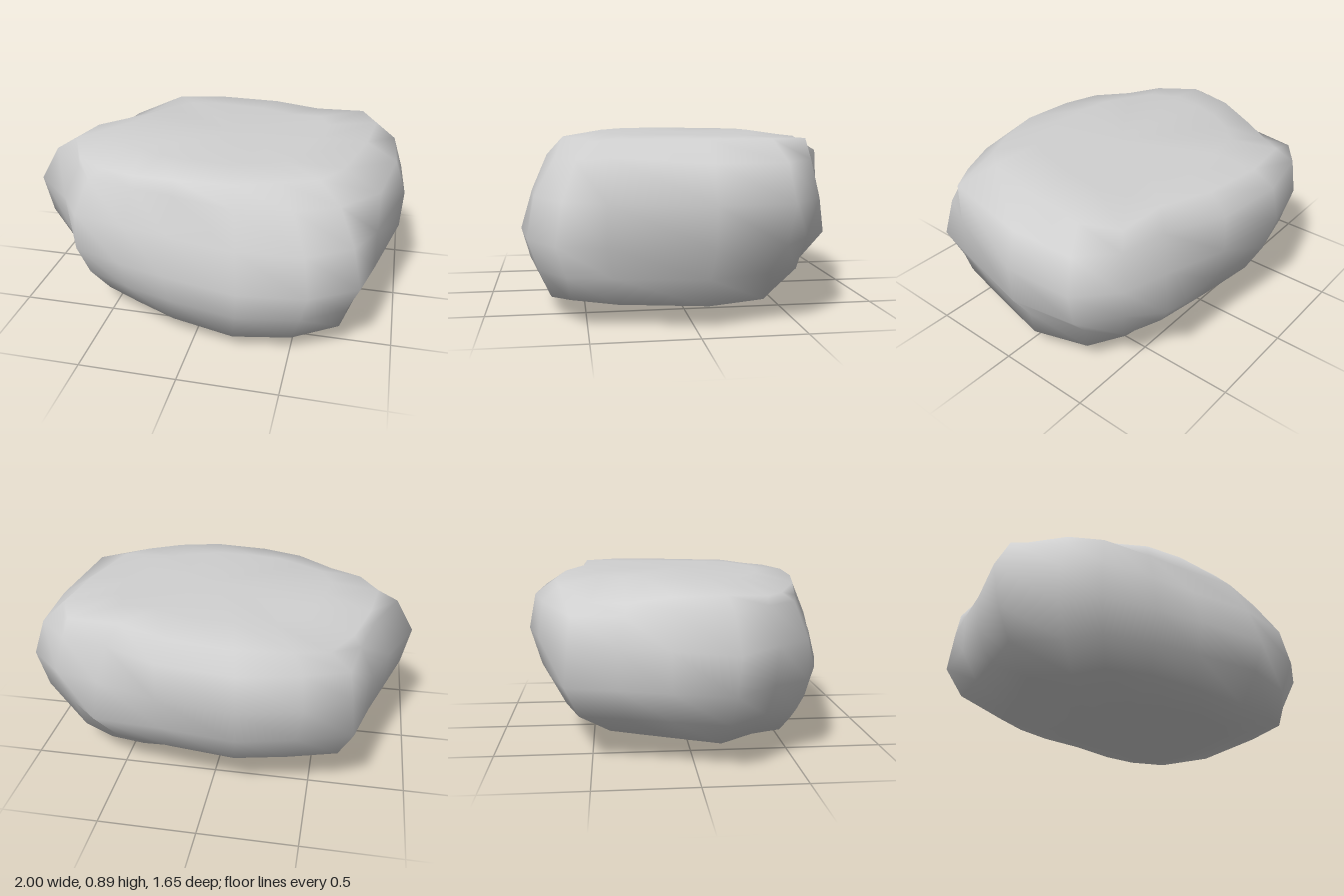
import * as THREE from 'three';

// Plan of the boulder: [angle in degrees from +x towards +z, widest radius, crown rim radius, rim drop]
const OUTLINE = [
  [-4, 1.003, 0.78, 0], [25, 0.98, 0.76, 0], [38, 1.05, 0.74, 0.01], [53, 0.98, 0.67, 0],
  [73, 0.86, 0.63, 0], [100, 0.75, 0.6, 0], [120, 0.78, 0.64, 0.01], [139, 0.89, 0.69, 0.03],
  [153, 0.88, 0.77, 0.02], [170, 1.015, 0.8, 0], [188, 0.88, 0.76, 0.01], [205, 0.87, 0.75, 0.05],
  [221, 0.95, 0.76, 0.06], [238, 0.89, 0.77, 0], [259, 0.845, 0.7, 0], [287, 0.81, 0.68, 0],
  [310, 0.91, 0.72, 0], [323, 1.0, 0.91, 0], [336, 1.07, 0.89, 0],
];

// Wall sections, top to bottom: height and scale to front, back, +x and -x
const WALLS = [
  { y: 0.78, f: 0.82, b: 0.96, r: 0.94, l: 0.9 },
  { y: 0.6, f: 0.92, b: 1.0, r: 1.0, l: 1.0 },
  { y: 0.4, f: 1.0, b: 0.93, r: 0.99, l: 0.95 },
  { y: 0.24, f: 0.95, b: 0.83, r: 0.9, l: 0.86 },
  { y: 0.11, f: 0.87, b: 0.58, r: 0.83, l: 0.72 },
  { y: 0.05, f: 0.58, b: 0.4, r: 0.6, l: 0.28 },
];

// Dents and knobs: [outline index, wall index, radius factor, height shift]
const DENTS = [
  [0, 3, 0.98, 0], [0, 4, 1.04, 0], [1, 0, 1.07, 0.03], [1, 4, 1.04, 0],
  [2, 0, 0.94, 0], [2, 1, 0.97, 0], [2, 4, 1.05, 0.02], [3, 0, 0.95, 0], [3, 4, 1, -0.02],
  [4, 4, 0.98, -0.04], [5, 4, 1, -0.02],
  [10, 2, 1.04, 0], [10, 3, 1.04, 0], [11, 0, 1, -0.04], [11, 2, 1.05, 0], [11, 3, 1.05, 0],
  [12, 0, 1.02, -0.04], [12, 1, 0.97, 0], [12, 2, 1.06, 0], [12, 3, 1.06, 0],
  [13, 0, 1.03, 0], [15, 0, 1.03, 0.01],
  [16, 0, 0.93, 0], [16, 1, 0.96, 0], [16, 2, 1.05, 0],
  [17, 2, 0.96, 0], [18, 2, 0.97, 0], [18, 3, 0.92, 0],
];

function boulderGeometry() {
  const n = OUTLINE.length;
  const points = [];
  const index = [];
  // each ring takes a rule giving [radius, height] for an outline direction
  const addRing = (rule) => OUTLINE.forEach(([deg], j) => {
    const a = THREE.MathUtils.degToRad(deg);
    const c = Math.cos(a), s = Math.sin(a);
    const [r, y] = rule(j, c, s);
    points.push(r * c, y, r * s);
  });

  // flat crown and its rim, sloping gently down towards -x
  addRing((j) => [OUTLINE[j][2] * 0.68, 0.89]);
  addRing((j, c) => {
    const [, , rim, drop] = OUTLINE[j];
    return [rim, 0.862 + 0.025 * rim * c - drop];
  });
  // walls, with their dents
  WALLS.forEach((w, i) => addRing((j, c, s) => {
    const scale = c * c * (c > 0 ? w.r : w.l) + s * s * (s > 0 ? w.f : w.b);
    const [, , factor, lift] = DENTS.find(([dj, di]) => dj === j && di === i) ?? [j, i, 1, 0];
    return [OUTLINE[j][1] * scale * factor, w.y + lift];
  }));

  // faces between the sections
  const rings = WALLS.length + 2;
  for (let i = 0; i < rings - 1; i++) {
    for (let j = 0; j < n; j++) {
      const a = i * n + j, b = i * n + (j + 1) % n;
      index.push(a, b, a + n, b, b + n, a + n);
    }
  }
  // crown and underside close on one point each
  const top = rings * n, bottom = top + 1, last = top - n;
  points.push(0.1, 0.892, 0, 0.25, 0, -0.1);
  for (let j = 0; j < n; j++) {
    const k = (j + 1) % n;
    index.push(top, k, j, bottom, last + j, last + k);
  }
  const geometry = new THREE.BufferGeometry();
  geometry.setAttribute('position', new THREE.Float32BufferAttribute(points, 3));
  geometry.setIndex(index);
  geometry.computeVertexNormals();
  return geometry;
}

export function createModel() {
  const group = new THREE.Group();
  group.name = 'rock';
  const stone = new THREE.MeshStandardMaterial({ color: 0xd0d0d0 });
  stone.name = 'stone grey';
  const boulder = new THREE.Mesh(boulderGeometry(), stone);
  boulder.name = 'boulder';
  group.add(boulder);
  return group;
}
